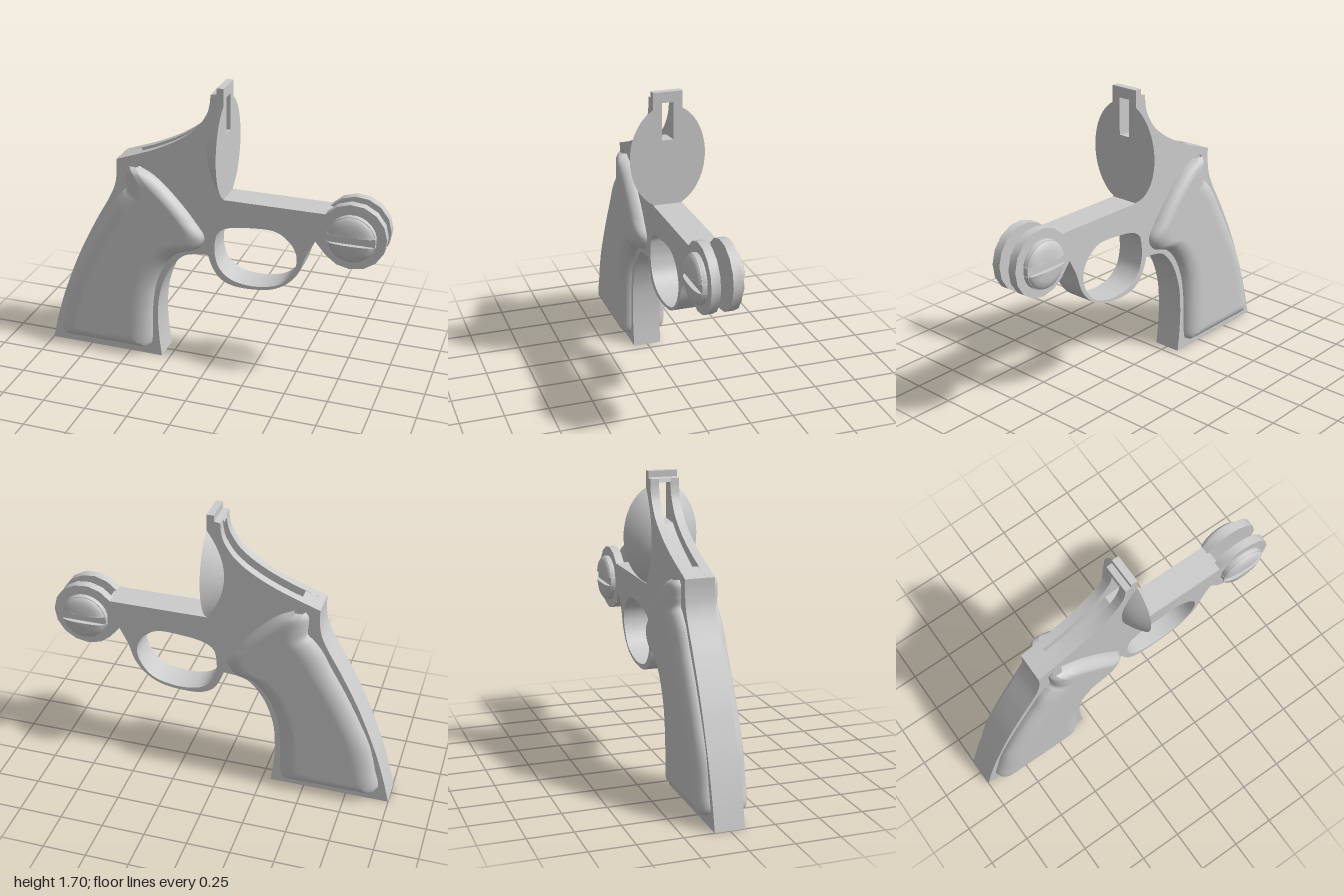
import * as THREE from 'three';
import { toCreasedNormals } from 'three/addons/utils/BufferGeometryUtils.js';
import { ParametricGeometry } from 'three/addons/geometries/ParametricGeometry.js';

const HALF = 0.083; // half thickness of the frame
const SLOT = 0.033; // half width of the central slot
const material = new THREE.MeshStandardMaterial({ color: 0xcccccc, side: THREE.DoubleSide });
const pts = (a) => a.map(([x, y]) => new THREE.Vector2(x, y));

function add(parent, name, geometry) {
  const mesh = new THREE.Mesh(geometry, material);
  mesh.name = name;
  parent.add(mesh);
  return mesh;
}

// Side profile; the core layer leaves out the hinge disc and the rear groove
function frameShape(core) {
  const s = new THREE.Shape();
  const lines = (a) => a.forEach(([x, y]) => s.lineTo(x, y));
  s.moveTo(-1, 0);
  s.lineTo(-0.3, 0);
  s.splineThru(pts([[-0.315, 0.13], [-0.32, 0.27], [-0.305, 0.42], [-0.25, 0.57], [-0.17, 0.67], [-0.1, 0.7], [-0.01, 0.71]]));
  s.splineThru(pts([[0.01, 0.65], [0.05, 0.585], [0.11, 0.548], [0.2, 0.535], [0.34, 0.548], [0.44, 0.595], [0.515, 0.68], [0.555, 0.79], [0.605, 0.89]]));
  if (core) {
    lines([[0.67, 0.815], [0.67, 1.06]]);
  } else {
    s.lineTo(0.665, 0.82);
    s.absarc(0.807, 0.945, 0.19, Math.PI + 0.722, Math.PI * 3 - 0.65, false);
  }
  s.lineTo(0.08, 1.06);
  if (core) {
    s.lineTo(0.08, 1.43);
    s.lineTo(-0.04, 1.42);
    s.splineThru(pts([[-0.1, 1.37], [-0.2, 1.31], [-0.34, 1.24], [-0.44, 1.205]]));
    s.lineTo(-0.44, 1.258);
    s.lineTo(-0.55, 1.22);
  } else {
    lines([[0.08, 1.7], [0.04, 1.7], [0.04, 1.665], [0.006, 1.66]]);
    s.splineThru(pts([[0, 1.6], [-0.02, 1.54], [-0.08, 1.455], [-0.19, 1.373], [-0.34, 1.298], [-0.55, 1.22]]));
  }
  s.splineThru(pts([[-0.55, 1.15], [-0.562, 1.07], [-0.6, 0.98], [-0.69, 0.82], [-0.8, 0.6], [-0.9, 0.35], [-0.96, 0.16], [-1, 0]]));

  // opening inside the trigger guard
  const hole = new THREE.Path();
  hole.moveTo(0.03, 0.79);
  hole.splineThru(pts([[0.045, 0.85], [0.1, 0.89], [0.2, 0.91], [0.36, 0.917], [0.44, 0.88], [0.49, 0.82], [0.505, 0.75], [0.48, 0.67],
    [0.42, 0.6], [0.33, 0.565], [0.22, 0.557], [0.12, 0.58], [0.055, 0.64], [0.03, 0.72], [0.03, 0.79]]));
  s.holes.push(hole);
  return s;
}

function slab(shape, z0, z1) {
  const g = new THREE.ExtrudeGeometry(shape, { depth: z1 - z0, bevelEnabled: false, curveSegments: 6 });
  g.translate(0, 0, z0);
  return toCreasedNormals(g, 0.5);
}

// Round dome with one side cut flat at the given distance from its axis
function cutDome(profile, cut, sx, sz) {
  const g = new THREE.LatheGeometry(pts(profile), 64);
  g.scale(sx, 1, sz);
  const p = g.attributes.position;
  for (let i = 0; i < p.count; i++) p.setZ(i, Math.max(p.getZ(i), cut));
  return g;
}

// Back and front edges of a grip panel, matched from bottom to top
const curve = (a) => new THREE.CatmullRomCurve3(a.map(([x, y]) => new THREE.Vector3(x, y, 0)));
const gripBack = curve([[-0.9, 0.055], [-0.935, 0.09], [-0.91, 0.22], [-0.87, 0.38], [-0.8, 0.54], [-0.72, 0.7], [-0.63, 0.86],
  [-0.57, 0.97], [-0.52, 1.03], [-0.49, 1.06], [-0.49, 1.11], [-0.49, 1.17], [-0.47, 1.2]]);
const gripFront = curve([[-0.38, 0.05], [-0.36, 0.08], [-0.353, 0.2], [-0.345, 0.35], [-0.32, 0.49], [-0.26, 0.62], [-0.18, 0.7],
  [-0.07, 0.74], [-0.03, 0.81], [-0.09, 0.91], [-0.2, 1.04], [-0.32, 1.15], [-0.41, 1.197]]);

function gripPanel(side) {
  return new ParametricGeometry((u, t, target) => {
    const k = side > 0 ? u : 1 - u;
    const a = gripBack.getPoint(t), b = gripFront.getPoint(t);
    const width = a.distanceTo(b);
    target.lerpVectors(a, b, k);
    // rounded shoulder that rises away from every edge
    const edge = Math.min(k * width, (1 - k) * width) / 0.11;
    const d = Math.min(edge, (target.y - 0.05) / 0.07, (1 - t) * 6 + 0.1, 1);
    const rise = Math.sqrt(Math.max(0, 1 - (1 - Math.max(d, 0)) ** 2));
    target.z = side * (HALF - 0.002 + 0.069 * rise);
  }, 32, 72);
}

export function createModel() {
  const model = new THREE.Group();
  model.name = 'handleFrame';

  // Layered frame with the slot between its two cheeks
  add(model, 'frameCore', slab(frameShape(true), -SLOT, SLOT));
  const bridge = new THREE.Shape(pts([[0, 1.64], [0.08, 1.64], [0.08, 1.7], [0.04, 1.7], [0.04, 1.665], [0.006, 1.66]]));
  add(model, 'sightBridge', slab(bridge, -SLOT, SLOT));

  // Lens profile of the shield, base first
  const lens = [[0, 0]];
  for (let i = 0; i <= 14; i++) {
    const r = 1 - i / 14;
    lens.push([r, 0.112 * (1 - r * r)]);
  }
  const head = [[0, 0], [0.135, 0], [0.135, 0.018], [0.128, 0.032], [0.113, 0.043], [0.085, 0.05], [0.045, 0.054], [0, 0.055]];

  for (const side of [1, -1]) {
    const label = side > 0 ? 'left' : 'right';
    add(model, label + 'FrameCheek', side > 0 ? slab(frameShape(false), SLOT, HALF) : slab(frameShape(false), -HALF, -SLOT));
    add(model, label + 'GripPanel', gripPanel(side));

    // Half of the rear shield, bulging backwards
    const shield = cutDome(lens, 0.05, 0.293, 0.215);
    shield.rotateZ(Math.PI / 2);
    if (side < 0) shield.rotateX(Math.PI);
    shield.translate(0.08, 1.335, 0);
    add(model, label + 'Shield', toCreasedNormals(shield, 0.6));

    // Slotted hinge screw: base disc and two half domes
    const screw = new THREE.Group();
    screw.name = label + 'HingeScrew';
    screw.position.set(0.807, 0.942, side * HALF);
    screw.rotation.x = side * Math.PI / 2;
    const base = new THREE.CylinderGeometry(0.133, 0.133, 0.03, 64);
    base.translate(0, 0.013, 0);
    add(screw, 'screwBase', toCreasedNormals(base, 0.6));
    for (const half of [0, Math.PI]) {
      const dome = cutDome(head, 0.025, 1, 1);
      dome.rotateY(half);
      add(screw, 'screwDome', toCreasedNormals(dome, 0.7));
    }
    model.add(screw);
  }
  return model;
}
